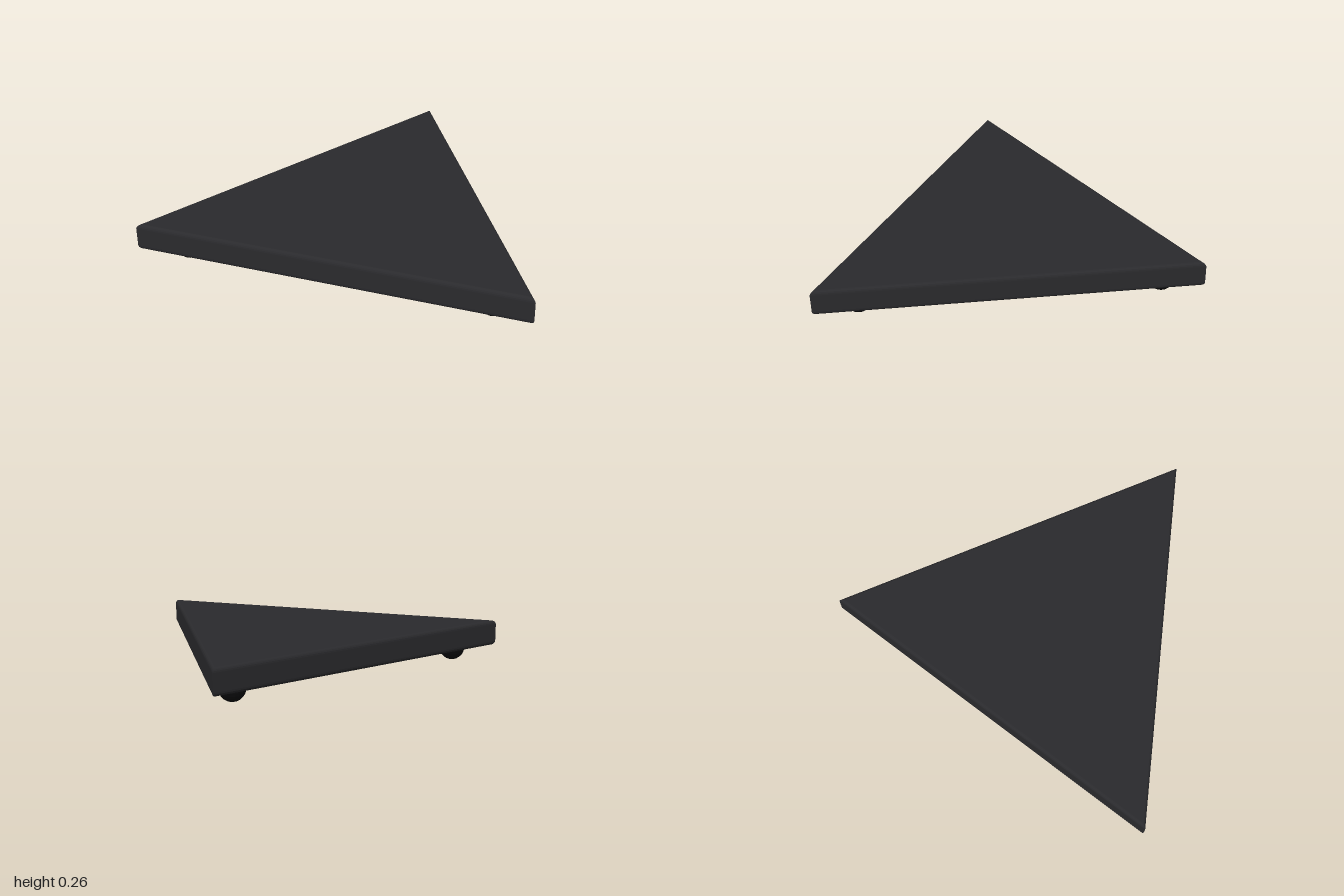
import * as THREE from 'three';

export function createModel() {
  const model = new THREE.Group();
  model.name = 'triangularBase';

  const plateMaterial = new THREE.MeshStandardMaterial({ color: 0x2a2a2d });
  const footMaterial = new THREE.MeshStandardMaterial({ color: 0x0c0c0d, flatShading: true });

  // Triangular plate with softly bevelled top and bottom edges
  const top = 0.262, bottom = 0.122, bevel = 0.022;
  const outline = new THREE.Shape([
    new THREE.Vector2(-1, 0.85),
    new THREE.Vector2(0, -0.85),
    new THREE.Vector2(1, 0.85),
  ]);
  const plateGeometry = new THREE.ExtrudeGeometry(outline, {
    depth: top - bottom - 2 * bevel,
    bevelThickness: bevel,
    bevelSize: bevel,
    bevelOffset: -bevel,
    bevelSegments: 4,
  });
  plateGeometry.rotateX(Math.PI / 2);
  const plate = new THREE.Mesh(plateGeometry, plateMaterial);
  plate.name = 'plate';
  plate.position.y = top - bevel;
  model.add(plate);

  // Ball feet, partly sunk into the underside
  function addBall(name, radius, x, y, z) {
    const ball = new THREE.Mesh(new THREE.SphereGeometry(radius, 20, 14), footMaterial);
    ball.name = name;
    ball.position.set(x, y, z);
    model.add(ball);
  }
  addBall('centreBall', 0.11, 0, 0.11, 0.285);
  addBall('leftFoot', 0.07, 0.78, 0.118, 0.72);
  addBall('rightFoot', 0.07, -0.78, 0.118, 0.72);
  addBall('backFoot', 0.07, 0, 0.118, -0.615);

  return model;
}
